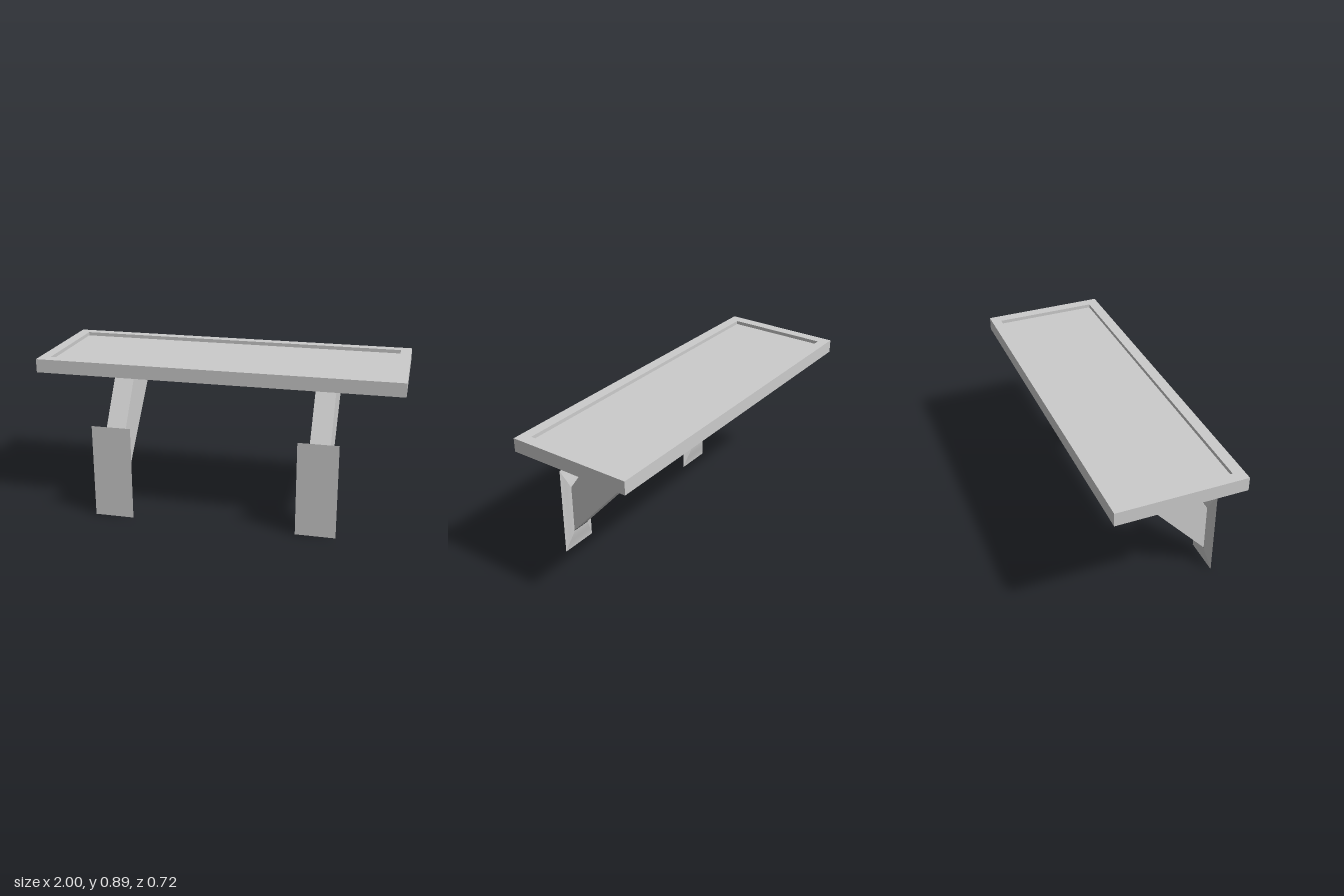
import * as THREE from 'three';

const grey = new THREE.MeshStandardMaterial({ color: 0xcccccc });

function part(name, geometry) {
  const mesh = new THREE.Mesh(geometry, grey);
  mesh.name = name;
  return mesh;
}

const rectPoints = (x0, x1, y0, y1) => [[x0, y0], [x1, y0], [x1, y1], [x0, y1]].map(p => new THREE.Vector2(...p));

// Shelf board: bottom slab plus a raised rim around the shallow recess
function makeShelf() {
  const shelf = new THREE.Group();
  shelf.name = 'shelf';
  const slab = part('shelfPanel', new THREE.BoxGeometry(2, 0.055, 0.695));
  slab.position.set(0, 0.8415, -0.0125);

  const outline = new THREE.Shape(rectPoints(-1, 1, -0.335, 0.36));
  outline.holes.push(new THREE.Path(rectPoints(-0.94, 0.94, -0.275, 0.305)));
  const rim = part('shelfRim', new THREE.ExtrudeGeometry(outline, { depth: 0.02, bevelEnabled: false }));
  rim.rotation.x = -Math.PI / 2;
  rim.position.y = 0.869;
  shelf.add(slab, rim);
  return shelf;
}

// Diagonal brace: side outline in (z, y), extruded across x
function makeBrace() {
  const outline = new THREE.Shape([[-0.337, 0.411], [-0.337, 0.126], [0.273, 0.815], [-0.059, 0.815]]
    .map(p => new THREE.Vector2(...p)));
  const geometry = new THREE.ExtrudeGeometry(outline, { depth: 0.112, bevelEnabled: false });
  geometry.translate(0, 0, -0.056);
  geometry.rotateY(Math.PI / 2);
  return part('brace', geometry);
}

// Moulded slope behind the plate: four mitred strips, each smooth across its own profile
function makeMoulding() {
  const steps = 10, positions = [], indices = [];
  const corners = [[-1, -1], [1, -1], [1, 1], [-1, 1]];
  for (let side = 0; side < 4; side++) {
    const base = positions.length / 3;
    for (let i = 0; i <= steps; i++) {
      const t = i / steps;
      const rise = 0.6 * t + 0.4 * t * t * (3 - 2 * t);
      for (const [sx, sy] of [corners[side], corners[(side + 1) % 4]]) {
        positions.push(
          sx * THREE.MathUtils.lerp(0.111, 0.056, t),
          0.267 + sy * THREE.MathUtils.lerp(0.267, 0.1425, t),
          0.361 - 0.025 * rise);
      }
      if (i < steps) {
        const a = base + i * 2;
        indices.push(a, a + 2, a + 1, a + 1, a + 2, a + 3);
      }
    }
  }
  const geometry = new THREE.BufferGeometry();
  geometry.setAttribute('position', new THREE.Float32BufferAttribute(positions, 3));
  geometry.setIndex(indices);
  geometry.computeVertexNormals();
  return part('plateMoulding', geometry);
}

function makeBracket(x, name) {
  const bracket = new THREE.Group();
  bracket.name = name;
  const face = part('plateFace', new THREE.PlaneGeometry(0.222, 0.534));
  face.position.set(0, 0.267, 0.361);
  bracket.add(face, makeMoulding(), makeBrace());
  bracket.position.x = x;
  return bracket;
}

export function createModel() {
  const model = new THREE.Group();
  model.name = 'wallShelf';
  model.add(makeShelf(), makeBracket(-0.575, 'rightBracket'), makeBracket(0.569, 'leftBracket'));
  return model;
}
